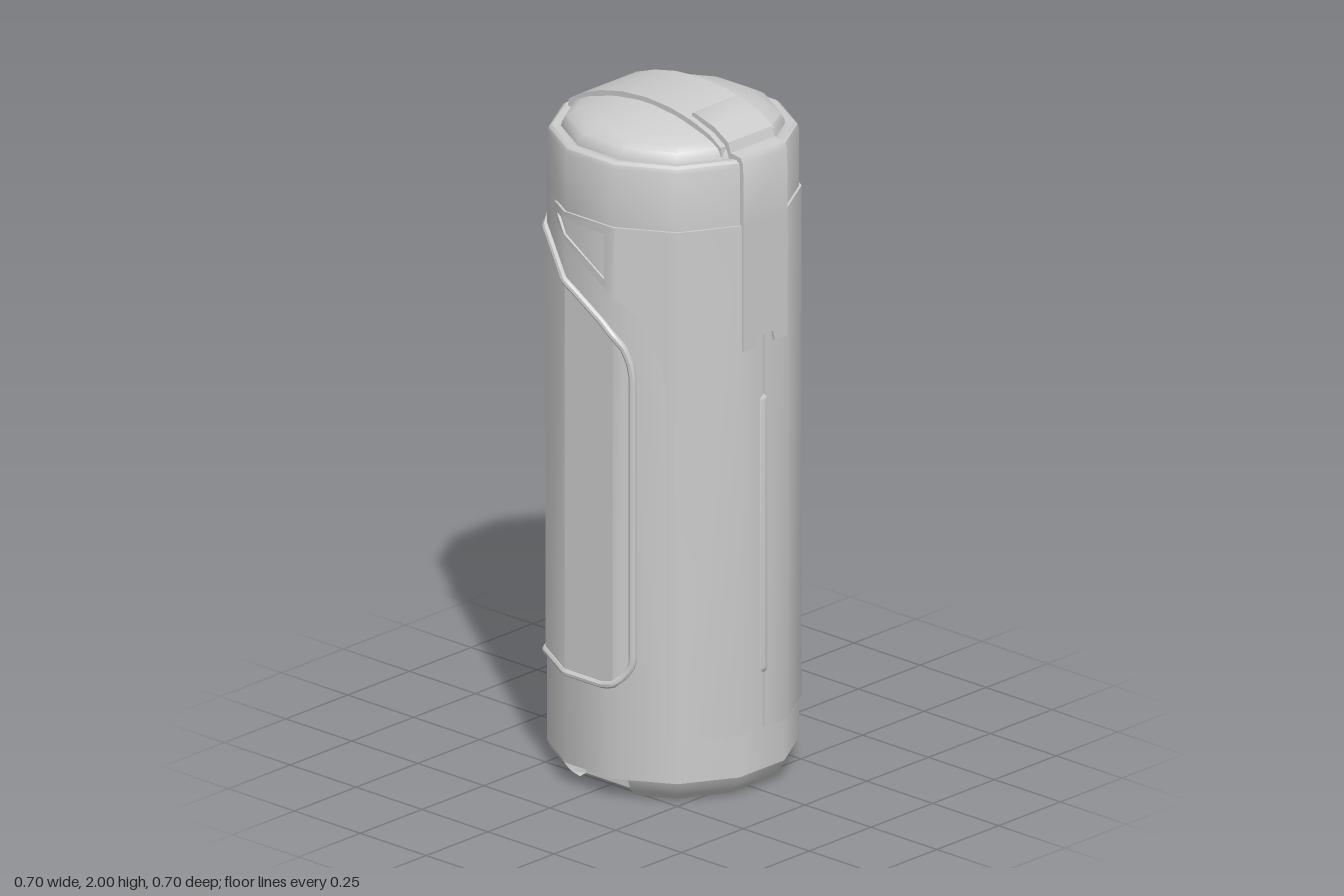
import * as THREE from 'three';
import { toCreasedNormals } from 'three/addons/utils/BufferGeometryUtils.js';

const SIDES = 12, STEP = Math.PI / 6, HALF = STEP / 2;
const BODY = 0.337; // distance from axis to the flat sides of the body
const material = new THREE.MeshStandardMaterial({ color: 0xcccccc });

function part(name, geometry, parent) {
  const mesh = new THREE.Mesh(toCreasedNormals(geometry, 0.6), material);
  mesh.name = name;
  parent.add(mesh);
  return mesh;
}

// Twelve-sided turned shape; profile gives [distance to flat side, y]
function turned(profile) {
  const pts = profile.map(([a, y]) => new THREE.Vector2(a / Math.cos(HALF), y));
  return new THREE.LatheGeometry(pts, SIDES, HALF);
}

// Point on the twelve-sided prism; angle runs from +z towards +x
function onPrism(angle, y, flat) {
  const off = angle - Math.round(angle / STEP) * STEP;
  const r = flat / Math.cos(off);
  return new THREE.Vector3(r * Math.sin(angle), y, r * Math.cos(angle));
}

// Angle of the point on the front half of the prism with the given x
function angleAt(x) {
  const flat = 0.343, R = flat / Math.cos(HALF);
  for (let k = -2; k <= 2; k++) {
    const a = k * STEP - HALF, b = a + STEP;
    const x0 = R * Math.sin(a), x1 = R * Math.sin(b);
    if (x <= x1 || k === 2) {
      const t = THREE.MathUtils.clamp((x - x0) / (x1 - x0), 0, 1);
      return Math.atan2(x0 + t * (x1 - x0), R * (Math.cos(a) + t * (Math.cos(b) - Math.cos(a))));
    }
  }
}

// Raised panel lying on the prism; columns are [angle, low y, high y]
function wrapPanel(columns, flat) {
  const cols = columns.slice().sort((a, b) => a[0] - b[0]);
  const all = [cols[0]];
  for (let i = 1; i < cols.length; i++) {
    const a = cols[i - 1], b = cols[i];
    for (let k = -12; k <= 12; k++) {
      const corner = k * STEP + HALF;
      if (corner > a[0] + 1e-4 && corner < b[0] - 1e-4) {
        const t = (corner - a[0]) / (b[0] - a[0]);
        all.push([corner, a[1] + t * (b[1] - a[1]), a[2] + t * (b[2] - a[2])]);
      }
    }
    all.push(b);
  }
  const pos = [];
  const quad = (a, b, c, d) => [a, b, c, a, c, d].forEach(p => pos.push(p.x, p.y, p.z));
  const ring = all.map(([t, lo, hi]) => [
    onPrism(t, lo, flat), onPrism(t, hi, flat),
    onPrism(t, hi, BODY - 0.006), onPrism(t, lo, BODY - 0.006)]);
  for (let i = 1; i < ring.length; i++) {
    const a = ring[i - 1], b = ring[i];
    quad(a[0], b[0], b[1], a[1]);
    quad(a[1], b[1], b[2], a[2]);
    quad(a[3], b[3], b[0], a[0]);
  }
  const s = ring[0], e = ring[ring.length - 1];
  quad(s[3], s[0], s[1], s[2]);
  quad(e[0], e[3], e[2], e[1]);
  const g = new THREE.BufferGeometry();
  g.setAttribute('position', new THREE.Float32BufferAttribute(pos, 3));
  return g;
}

// Flat outline extruded along z, centred
function slab(points, depth) {
  const shape = new THREE.Shape(points.map(p => new THREE.Vector2(...p)));
  return new THREE.ExtrudeGeometry(shape, { depth, bevelEnabled: false }).translate(0, 0, -depth / 2);
}

export function createModel() {
  const model = new THREE.Group();
  model.name = 'flask';

  // Body and lid
  part('body', turned([[0, 0.064], [BODY, 0.064], [BODY, 1.7]]), model);
  part('lid', turned([[BODY, 1.7], [BODY, 1.872], [0.333, 1.885], [0.324, 1.892], [0.312, 1.892],
    [0.3, 1.888], [0.297, 1.9], [0.288, 1.918], [0.265, 1.933], [0.24, 1.945], [0.17, 1.968],
    [0.1, 1.985], [0, 1.992]]), model);

  // Base with rounded edge and a finger notch at front and back
  const notch = [[0.125, 0.316], [0.11, 0.235], [-0.11, 0.235], [-0.125, 0.316]];
  const R = BODY / Math.cos(HALF);
  const outline = [];
  for (const s of [1, -1]) {
    notch.forEach(([x, z]) => outline.push(new THREE.Vector2(x * s, z * s)));
    for (let k = 1; k <= 4; k++) {
      const a = -(HALF + k * STEP);
      outline.push(new THREE.Vector2(R * Math.sin(a) * s, R * Math.cos(a) * s));
    }
  }
  const base = new THREE.ExtrudeGeometry(new THREE.Shape(outline),
    { depth: 0.065, steps: 3, bevelEnabled: false }).rotateX(-Math.PI / 2);
  const p = base.attributes.position;
  const scales = [0.84, 0.92, 0.97, 1];
  for (let i = 0; i < p.count; i++) {
    if (Math.hypot(p.getX(i), p.getZ(i)) < 0.3) continue;
    const s = scales[Math.round(p.getY(i) / 0.065 * 3)];
    p.setX(i, p.getX(i) * s);
    p.setZ(i, p.getZ(i) * s);
  }
  part('base', base, model);

  // Grip panel wrapping the right side, edged by a bead
  const upper = [[0.14, 1.26], [0.134, 1.3], [0.118, 1.345], [0.09, 1.38], [0.05, 1.41],
    [-0.09, 1.495], [-0.25, 1.59], [-0.343, 1.648]];
  const lower = [[0.14, 0.42], [0.134, 0.395], [0.118, 0.37], [0.09, 0.345], [0.05, 0.335],
    [-0.09, 0.335], [-0.25, 0.335], [-0.343, 0.335]];
  const half = upper.map(([x, y], i) => [angleAt(x), lower[i][1], y]);
  const grip = half.concat(half.map(([t, lo, hi]) => [-Math.PI - t, lo, hi]));
  part('gripPanel', wrapPanel(grip, 0.342), model);

  const mirrored = list => list.map(([t, y]) => [-Math.PI - t, y]).reverse();
  const up = half.map(([t, , hi]) => [t, hi]);
  const down = half.map(([t, lo]) => [t, lo]).reverse();
  const loop = [...up, ...mirrored(up), ...mirrored(down), ...down];
  const path = [];
  loop.forEach((a, i) => {
    const b = loop[(i + 1) % loop.length];
    const n = Math.max(1, Math.ceil(Math.hypot((b[0] - a[0]) * 0.34, b[1] - a[1]) / 0.03));
    for (let k = 0; k < n; k++) {
      const t = k / n;
      path.push(onPrism(a[0] + t * (b[0] - a[0]), a[1] + t * (b[1] - a[1]), 0.34));
    }
  });
  const bead = new THREE.CatmullRomCurve3(path, true);
  part('gripBead', new THREE.TubeGeometry(bead, 320, 0.011, 8, true), model);

  // Left shell halves, each with a triangular window, split by a seam
  const strips = {
    shellTip: [[-0.178, 1.675, 1.69], [-0.172, 1.667, 1.699], [-0.15, 1.648, 1.702]],
    windowTopRail: [[-0.15, 1.676, 1.702], [0.06, 1.676, 1.702]],
    windowLowerRail: [[-0.15, 1.648, 1.676], [0.06, 1.515, 1.54]],
    shell: [[0.06, 1.515, 1.702], [0.1, 1.49, 1.702], [0.15, 1.445, 1.702], [0.185, 1.39, 1.702],
      [0.21, 1.31, 1.702], [0.222, 1.22, 1.702], [0.226, 0.19, 1.702], [0.343, 0.19, 1.702]],
  };
  for (const side of ['front', 'back']) {
    const group = new THREE.Group();
    group.name = side + 'Shell';
    model.add(group);
    for (const [name, list] of Object.entries(strips)) {
      let cols = list.map(([x, lo, hi]) => [angleAt(x), lo, hi]);
      if (name === 'shell') cols.push([Math.PI / 2 - 0.007, 0.19, 1.702]);
      if (side === 'back') cols = cols.map(([t, lo, hi]) => [Math.PI - t, lo, hi]);
      part(name, wrapPanel(cols, 0.344), group);
    }
  }

  // Rib along the seam
  const rib = part('seamRib', new THREE.CapsuleGeometry(0.02, 0.79, 4, 10), model);
  rib.position.set(0.336, 0.765, 0);
  rib.scale.x = 0.65;

  // Band over the lid
  part('lidBand', slab([[-0.298, 1.895], [0.285, 1.895], [0.282, 1.922], [0.24, 1.95], [0.17, 1.975],
    [0.09, 1.992], [0, 1.998], [-0.09, 1.992], [-0.17, 1.975], [-0.24, 1.95], [-0.294, 1.918]], 0.216), model);

  // Latch: hinge plate over the lid edge, and a strap down the side
  part('latchHinge', slab([[0.155, 1.95], [0.28, 1.88], [0.33, 1.88], [0.33, 1.7], [0.351, 1.7],
    [0.349, 1.885], [0.338, 1.902], [0.302, 1.907], [0.292, 1.935], [0.24, 1.968], [0.165, 1.99],
    [0.155, 1.987]], 0.178), model);
  const strap = slab([[-0.089, 1.33], [-0.036, 1.33], [-0.03, 1.36], [0.03, 1.36], [0.036, 1.33],
    [0.089, 1.33], [0.089, 1.7], [-0.089, 1.7]], 0.021);
  part('latchStrap', strap.rotateY(Math.PI / 2).translate(0.3405, 0, 0), model);

  return model;
}
